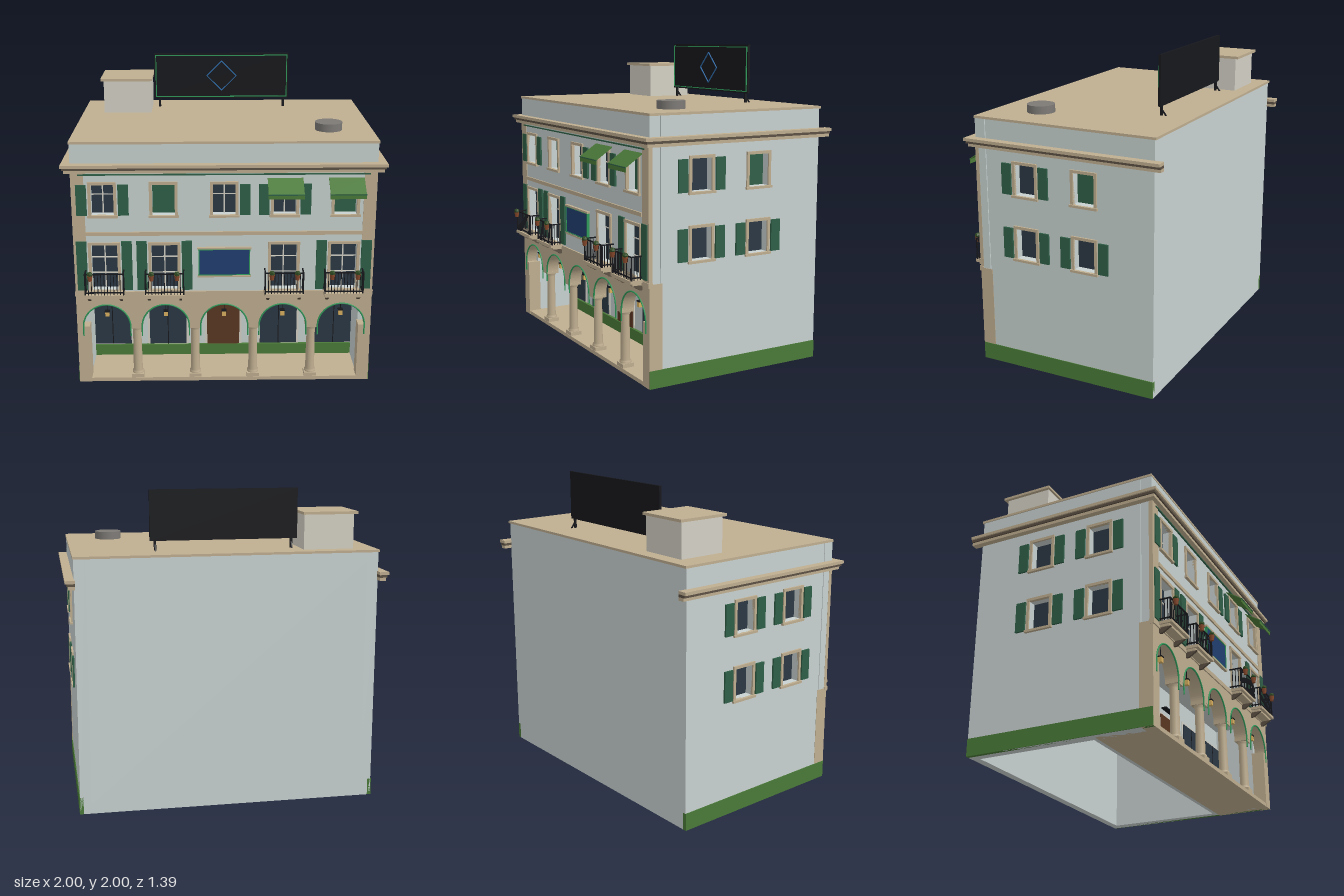
import * as THREE from 'three';

const C = {
  wall: 0xc8d2d0, tan: 0xbfae90, cream: 0xd3d0c4, dark: 0x5c5144, shutter: 0x2f5f47, green: 0x4a7a38,
  neon: 0x2f9a5a, glass: 0x2b3844, door: 0x5a3722, black: 0x17181c, blue: 0x213f70, neonBlue: 0x2f6fb0,
  pot: 0x8a4a2c, leaf: 0x2f4a22, grey: 0x7d7a76, lamp: 0xd9b060,
};
const mats = {};
const mat = (c) => (mats[c] ??= new THREE.MeshStandardMaterial({ color: C[c], side: THREE.DoubleSide }));

function add(parent, name, geo, color, x = 0, y = 0, z = 0) {
  const m = new THREE.Mesh(geo, mat(color));
  m.name = name;
  m.position.set(x, y, z);
  parent.add(m);
  return m;
}
// Box given by its min and max on each axis
const box = (p, name, color, x0, x1, y0, y1, z0, z1) =>
  add(p, name, new THREE.BoxGeometry(x1 - x0, y1 - y0, z1 - z0), color, (x0 + x1) / 2, (y0 + y1) / 2, (z0 + z1) / 2);

function group(parent, name, x = 0, y = 0, z = 0, ry = 0) {
  const g = new THREE.Group();
  g.name = name;
  g.position.set(x, y, z);
  g.rotation.y = ry;
  parent.add(g);
  return g;
}

const T = 0.07; // wall thickness and window recess

// Wall with rectangular openings; its outer face is at local z = 0
function pierced(p, name, color, x0, x1, y0, y1, openings) {
  const rect = (S, a, b, c, d) => new S([[a, c], [b, c], [b, d], [a, d]].map(([x, y]) => new THREE.Vector2(x, y)));
  const s = rect(THREE.Shape, x0, x1, y0, y1);
  openings.forEach((o) => s.holes.push(rect(THREE.Path, o.x - o.w / 2, o.x + o.w / 2, o.y0, o.y1)));
  add(p, name, new THREE.ExtrudeGeometry(s, { depth: T, bevelEnabled: false }), color, 0, 0, -T);
}

// Recessed window with surround, sill, glazing bars and hinged shutters
function windowUnit(p, o) {
  const g = group(p, 'window', o.x), h = o.w / 2, f = 0.018;
  box(g, o.closed ? 'closedShutters' : 'glass', o.closed ? 'shutter' : 'glass', -h, h, o.y0, o.y1, -T + 0.005, -T + 0.02);
  for (const s of [-1, 1]) {
    box(g, 'surroundSide', 'tan', s * h - (s < 0 ? f : 0), s * h + (s > 0 ? f : 0), o.y0, o.y1, -0.01, 0.01);
    if (o.sh?.includes(s)) {
      const a = s * (h + f + 0.009), b = a + s * 0.065;
      box(g, 'shutter', 'shutter', Math.min(a, b), Math.max(a, b), o.y0, o.y1 + (o.tall ? 0.025 : 0), 0, 0.012);
    }
  }
  box(g, 'lintel', 'tan', -h - f, h + f, o.y1, o.y1 + f, -0.01, 0.012);
  box(g, 'sill', 'tan', -h - f - 0.006, h + f + 0.006, o.y0 - 0.015, o.y0, -0.01, 0.018);
  if (o.bars) {
    box(g, 'glazingBar', 'cream', -0.004, 0.004, o.y0, o.y1, -T + 0.02, -T + 0.026);
    for (const t of o.bars) {
      const y = o.y0 + t * (o.y1 - o.y0);
      box(g, 'glazingBar', 'cream', -h, h, y - 0.003, y + 0.003, -T + 0.02, -T + 0.026);
    }
  }
}

function balcony(p, x, pots) {
  const g = group(p, 'balcony', x);
  box(g, 'balconySlab', 'tan', -0.125, 0.125, 0.63, 0.648, 0, 0.09);
  box(g, 'balconyMoulding', 'tan', -0.115, 0.115, 0.615, 0.63, 0, 0.07);
  for (const s of [-1, 1]) {
    const b = new THREE.Shape([[0, 0], [0.02, 0], [0.075, 0.035], [0, 0.035]].map(([u, v]) => new THREE.Vector2(u, v)));
    const m = add(g, 'bracket', new THREE.ExtrudeGeometry(b, { depth: 0.016, bevelEnabled: false }), 'dark', s * 0.1 - 0.008, 0.582, 0);
    m.rotation.y = -Math.PI / 2;
    m.position.x += 0.016;
    for (const y of [0.66, 0.785]) box(g, 'sideRail', 'black', s * 0.12 - 0.004, s * 0.12 + 0.004, y, y + 0.007, 0, 0.084);
    for (let i = 1; i < 4; i++) box(g, 'baluster', 'black', s * 0.12 - 0.002, s * 0.12 + 0.002, 0.648, 0.785, i * 0.021 - 0.002, i * 0.021 + 0.002);
  }
  for (const y of [0.66, 0.785]) box(g, 'frontRail', 'black', -0.124, 0.124, y, y + 0.007, 0.076, 0.084);
  for (let i = 0; i <= 12; i++) {
    const bx = -0.12 + i * 0.02, r = i % 12 ? 0.002 : 0.004;
    box(g, 'baluster', 'black', bx - r, bx + r, 0.648, 0.79, 0.08 - r, 0.08 + r);
  }
  for (const px of pots) {
    add(g, 'flowerPot', new THREE.CylinderGeometry(0.018, 0.012, 0.035, 10), 'pot', px, 0.77, 0.1);
    add(g, 'plant', new THREE.IcosahedronGeometry(0.02, 0), 'leaf', px, 0.795, 0.1);
  }
}

function awning(p, x) {
  const g = group(p, 'awning', x);
  const s = new THREE.Shape([[0, 1.388], [0.11, 1.315], [0.11, 1.283], [0.106, 1.283], [0.106, 1.311], [0, 1.382]].map(([u, v]) => new THREE.Vector2(u, v)));
  const m = add(g, 'awningCloth', new THREE.ExtrudeGeometry(s, { depth: 0.22, bevelEnabled: false }), 'green', 0.11);
  m.rotation.y = -Math.PI / 2;
  box(g, 'awningBar', 'shutter', -0.112, 0.112, 1.308, 1.314, 0.108, 0.114);
}

export function createModel() {
  const root = new THREE.Group();
  root.name = 'building';
  const bays = [-0.755, -0.377, 0, 0.377, 0.755];

  // Upper front wall with its two rows of windows
  const front = group(root, 'frontFacade', 0, 0, 0.575);
  const upSh = [[-1, 1], [], [1], [-1, 1], []], midSh = [[-1, 1], [-1, 1], [], [], [-1, 1]];
  const openings = [];
  bays.forEach((x, i) => {
    openings.push({ x, w: 0.14, y0: 1.152, y1: 1.35, sh: upSh[i], closed: i === 1 || i === 4, bars: i === 1 || i === 4 ? null : [0.62] });
    if (i !== 2) openings.push({ x, w: 0.165, y0: 0.652, y1: 0.955, sh: midSh[i], tall: true, bars: [0.33, 0.68] });
  });
  pierced(front, 'upperFrontWall', 'wall', -0.945, 0.945, 0.63, 1.61, openings);
  openings.forEach((o) => windowUnit(front, o));
  [[0, [-0.085]], [1, [-0.08, 0.08]], [3, [-0.08, 0.08]], [4, [-0.08, 0.08]]].forEach(([i, pots]) => balcony(front, bays[i], pots));
  awning(front, bays[3]);
  awning(front, bays[4]);
  for (const s of [-1, 1]) box(front, 'cornerPilaster', 'tan', s * 0.906 - 0.04, s * 0.906 + 0.04, 0.63, 1.43, -0.02, 0.005);
  box(front, 'stringCourse', 'tan', -0.866, 0.866, 1.018, 1.042, -0.01, 0.01);
  box(front, 'floorBand', 'tan', -0.95, 0.95, 0.61, 0.64, -0.02, 0.01);
  box(front, 'lightStrip', 'shutter', -0.9, 0.9, 1.41, 1.418, 0, 0.01);

  // Blue panel between the balconies
  box(front, 'bluePanel', 'blue', -0.16, 0.16, 0.752, 0.93, 0, 0.014);
  for (const y of [0.745, 0.932]) {
    box(front, 'panelRail', 'tan', -0.17, 0.17, y - 0.005, y + 0.007, 0, 0.02);
    box(front, 'panelTrim', 'neon', -0.165, 0.165, y < 0.8 ? 0.752 : 0.922, y < 0.8 ? 0.757 : 0.927, 0.01, 0.018);
  }
  for (const s of [-1, 1]) box(front, 'panelTrim', 'neon', s * 0.16 - 0.003, s * 0.16 + 0.003, 0.752, 0.927, 0, 0.018);

  // Side walls; u is the position along z
  for (const s of [1, -1]) {
    const side = group(root, s > 0 ? 'leftSide' : 'rightSide', s * 0.945, 0, 0, s * Math.PI / 2);
    const list = [];
    for (const u of [0.225, -0.182]) for (const y of [0.74, 1.152]) {
      const closed = s > 0 && u < 0 && y > 1;
      list.push({ x: -s * u, w: 0.14, y0: y, y1: y + 0.196, closed, sh: closed ? [] : [-1, 1] });
    }
    const span = [-s * 0.5, s * 0.64].sort((a, b) => a - b);
    pierced(side, 'sideWall', 'wall', span[0], span[1], 0, 1.61, list);
    list.forEach((o) => windowUnit(side, o));
    const base = [-s * 0.575, s * 0.64].sort((a, b) => a - b);
    box(side, 'greenBase', 'green', base[0], base[1], 0, 0.11, -0.02, 0.005);
  }
  box(root, 'backWall', 'wall', -0.945, 0.945, 0, 1.61, -0.64, -0.59);
  box(root, 'ceiling', 'wall', -0.88, 0.88, 0.6, 0.63, -0.6, 0.5);
  box(root, 'roof', 'tan', -0.95, 0.95, 1.605, 1.62, -0.65, 0.578);

  // Arcade wall with five arches on columns and end piers
  const arcade = group(root, 'arcade'), R = 0.152, Y = 0.395;
  const sh = new THREE.Shape();
  sh.moveTo(-0.947, Y);
  for (const c of bays) {
    sh.lineTo(c - R, Y);
    sh.absarc(c, Y, R, Math.PI, 0, true);
  }
  sh.lineTo(0.947, Y);
  sh.lineTo(0.947, 0.63);
  sh.lineTo(-0.947, 0.63);
  add(arcade, 'archWall', new THREE.ExtrudeGeometry(sh, { depth: 0.087, bevelEnabled: false, curveSegments: 20 }), 'tan', 0, 0, 0.49);
  for (const s of [-1, 1]) box(arcade, 'endPier', 'tan', s * 0.9075 - 0.0395, s * 0.9075 + 0.0395, 0, Y, 0.49, 0.577);
  box(arcade, 'arcadeFloor', 'tan', -0.945, 0.945, 0, 0.025, 0.2, 0.575);
  for (const x of [-0.566, -0.189, 0.189, 0.566]) {
    const col = group(arcade, 'column', x, 0, 0.533);
    box(col, 'columnBase', 'tan', -0.04, 0.04, 0.02, 0.05, -0.04, 0.04);
    const prof = [[0.037, 0.05], [0.037, 0.062], [0.03, 0.07], [0.027, 0.355], [0.035, 0.37], [0.035, 0.38]];
    add(col, 'columnShaft', new THREE.LatheGeometry(prof.map(([a, b]) => new THREE.Vector2(a, b)), 16), 'tan');
    box(col, 'capital', 'tan', -0.039, 0.039, 0.378, Y, -0.042, 0.042);
  }
  for (const c of bays) {
    add(arcade, 'archTrim', new THREE.TorusGeometry(R, 0.005, 6, 24, Math.PI), 'neon', c, Y, 0.579);
    for (const s of [-1, 1]) add(arcade, 'trimLeg', new THREE.CylinderGeometry(0.005, 0.005, Y - 0.33, 6), 'neon', c + s * R, (Y + 0.33) / 2, 0.579);
    const lamp = group(arcade, 'lantern', c, 0, 0.533);
    box(lamp, 'lanternGlass', 'lamp', -0.013, 0.013, 0.45, 0.482, -0.013, 0.013);
    box(lamp, 'lanternCap', 'black', -0.016, 0.016, 0.482, 0.489, -0.016, 0.016);
    box(lamp, 'lanternRod', 'black', -0.002, 0.002, 0.489, 0.55, -0.002, 0.002);
  }

  // Shop wall behind the arcade; frames show on both faces
  const shop = group(root, 'shopFront', 0, 0, 0.2);
  box(shop, 'shopWall', 'wall', -0.88, 0.88, 0, 0.61, -0.025, 0.025);
  box(shop, 'shopBase', 'green', -0.88, 0.88, 0.025, 0.1, 0, 0.045);
  for (const c of bays) {
    const h = c ? 0.125 : 0.11, y0 = c ? 0.105 : 0.03, y1 = c ? 0.455 : 0.41;
    box(shop, 'openingFrame', 'cream', c - h - 0.015, c + h + 0.015, y0 - 0.01, y1 + 0.015, -0.03, 0.03);
    box(shop, c ? 'shopWindow' : 'door', c ? 'glass' : 'door', c - h, c + h, y0, y1, -0.036, 0.036);
    if (c) box(shop, 'shopMullion', 'black', c - 0.003, c + 0.003, y0, y1, -0.038, 0.038);
  }
  box(shop, 'doorBar', 'black', -0.08, 0.08, 0.455, 0.464, 0.02, 0.06);

  // Cornice along the front and both sides, in three layers
  for (const [y0, y1, d, color] of [[1.43, 1.45, 0.036, 'tan'], [1.45, 1.466, 0.045, 'dark'], [1.466, 1.485, 0.055, 'tan']]) {
    const e = 0.945 + d;
    box(root, 'frontCornice', color, -e, e, y0, y1, 0.56, 0.572 + d);
    for (const s of [-1, 1]) box(root, 'sideCornice', color, Math.min(s * 0.94, s * e), Math.max(s * 0.94, s * e), y0, y1, -0.695, 0.57);
  }

  // Roof hut and vent drum
  box(root, 'roofHut', 'cream', -0.805, -0.485, 1.62, 1.838, -0.56, -0.245);
  box(root, 'hutCap', 'tan', -0.825, -0.475, 1.838, 1.855, -0.58, -0.23);
  add(root, 'ventDrum', new THREE.CylinderGeometry(0.087, 0.087, 0.05, 24), 'grey', 0.67, 1.645, 0.27);

  // Billboard with a lit border and a rhombus outline
  const board = group(root, 'billboard', 0, 0, -0.44);
  box(board, 'boardPanel', 'black', -0.47, 0.467, 1.68, 1.995, -0.008, 0.008);
  for (const y of [1.692, 1.98]) box(board, 'boardBorder', 'neon', -0.46, 0.457, y - 0.003, y + 0.003, 0.008, 0.014);
  for (const x of [-0.457, 0.454]) box(board, 'boardBorder', 'neon', x - 0.003, x + 0.003, 1.692, 1.98, 0.008, 0.014);
  for (const sx of [-1, 1]) {
    box(board, 'boardPost', 'black', sx * 0.433 - 0.007, sx * 0.433 + 0.007, 1.62, 1.69, -0.007, 0.007);
    const strut = add(board, 'boardStrut', new THREE.BoxGeometry(0.008, 0.06, 0.008), 'black', sx * 0.433, 1.64, -0.015);
    strut.rotation.x = 0.65;
    for (const sy of [-1, 1]) {
      const bar = add(board, 'rhombusBar', new THREE.BoxGeometry(0.146, 0.006, 0.006), 'neonBlue', sx * 0.051, 1.838 + sy * 0.051, 0.011);
      bar.rotation.z = -sx * sy * Math.PI / 4;
    }
  }
  return root;
}
